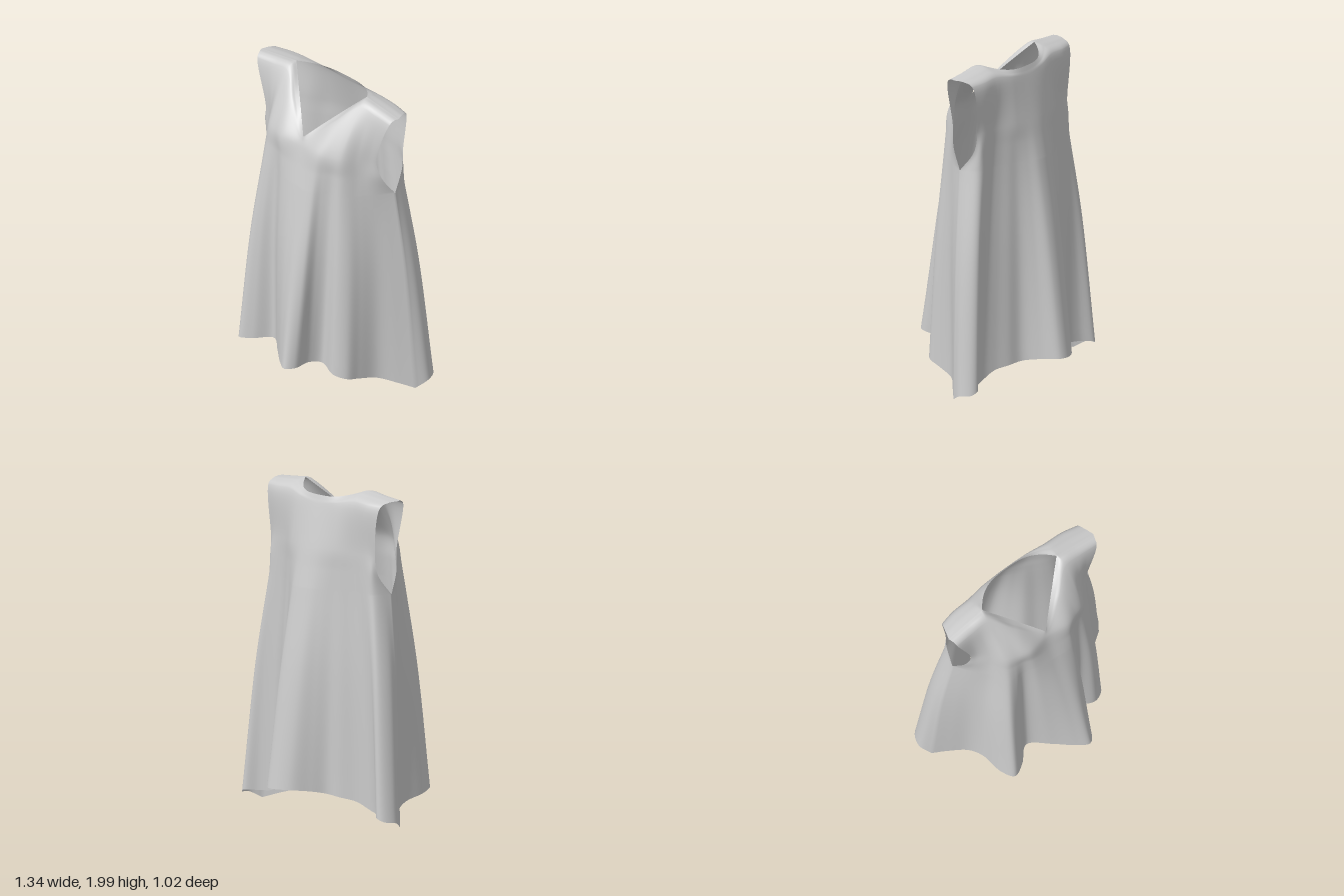
import * as THREE from 'three';
import { mergeGeometries, mergeVertices } from 'three/addons/utils/BufferGeometryUtils.js';

const COLS = 128, UPPER = 50, LOWER = 20;
const V = (p) => new THREE.Vector3(...p);
const smooth = (a, b, x) => THREE.MathUtils.smoothstep(x, a, b);

// Smooth line from a half list (centre to side) mirrored to run from -x to +x
const mirrored = (half) =>
  new THREE.CatmullRomCurve3([...half.slice(1).reverse().map(([x, y, z]) => [-x, y, z]), ...half].map(V));

// Upper edge at h = 0 (centre) to 1 (shoulder end): neckline, then the shoulder seam
function topEdge(neck, u) {
  const h = Math.abs(2 * u - 1), side = Math.sign(2 * u - 1);
  const p = h <= 0.5 ? V(neck(2 * h)) : V([0.28, 2, -0.04]).lerp(V([0.545, 1.97, -0.025]), 2 * h - 1);
  p.x *= side;
  return p;
}

// Key lines of each panel: neckline, shoulder roll, chest, underarm, hem.
// bow is how far the armhole edge swells in z just above the underarm.
const FRONT = {
  bow: 0.025,
  neck: (t) => [0.28 * t, 1.71 + 0.31 * t - 0.02 * t * t, 0.215 - 0.255 * t],
  roll: [[0, 1.69, 0.22], [0.16, 1.84, 0.135], [0.29, 1.965, 0.035], [0.41, 1.955, 0.03], [0.525, 1.945, 0.035]],
  chest: [[0, 1.65, 0.235], [0.14, 1.67, 0.25], [0.22, 1.67, 0.225], [0.29, 1.67, 0.195], [0.35, 1.66, 0.12],
    [0.4, 1.655, 0.075], [0.44, 1.65, 0.055]],
  underarm: [[0, 1.4, 0.28], [0.16, 1.4, 0.28], [0.3, 1.4, 0.22], [0.41, 1.4, 0.09], [0.505, 1.4, -0.04]],
  hem: [
    [-0.63, 0.01, -0.08], [-0.55, 0.045, -0.02], [-0.46, 0.08, 0.06], [-0.42, 0.11, 0.15], [-0.405, 0.14, 0.3],
    [-0.36, 0.165, 0.385], [-0.28, 0.175, 0.35], [-0.19, 0.18, 0.27], [-0.07, 0.205, 0.37], [0.04, 0.215, 0.47],
    [0.11, 0.22, 0.51], [0.155, 0.22, 0.46], [0.155, 0.2, 0.34], [0.2, 0.18, 0.27], [0.31, 0.16, 0.3],
    [0.385, 0.14, 0.26], [0.41, 0.11, 0.17], [0.45, 0.075, 0.06], [0.55, 0.04, -0.02], [0.63, 0.01, -0.08],
  ],
};
const BACK = {
  bow: -0.035,
  neck: (t) => [0.28 * t, 1.95 + 0.05 * t ** 3, -0.175 + 0.135 * t ** 3],
  roll: [[0, 1.9, -0.195], [0.15, 1.92, -0.185], [0.29, 1.945, -0.16], [0.41, 1.94, -0.155], [0.51, 1.935, -0.135]],
  chest: [[0, 1.65, -0.265], [0.18, 1.65, -0.235], [0.31, 1.65, -0.18], [0.43, 1.65, -0.16], [0.475, 1.65, -0.145]],
  underarm: [[0, 1.4, -0.31], [0.16, 1.4, -0.25], [0.32, 1.4, -0.18], [0.475, 1.4, -0.155], [0.505, 1.4, -0.04]],
  hem: [
    [-0.63, 0.01, -0.08], [-0.67, 0.05, -0.15], [-0.65, 0.06, -0.22], [-0.61, 0.08, -0.245], [-0.54, 0.09, -0.19],
    [-0.45, 0.1, -0.165], [-0.36, 0.14, -0.19], [-0.27, 0.16, -0.245], [-0.19, 0.175, -0.28], [-0.13, 0.19, -0.36],
    [-0.06, 0.2, -0.46], [0.04, 0.2, -0.51], [0.11, 0.2, -0.49], [0.15, 0.19, -0.38], [0.2, 0.175, -0.28],
    [0.28, 0.16, -0.24], [0.36, 0.14, -0.19], [0.45, 0.09, -0.16], [0.54, 0.08, -0.185], [0.61, 0.08, -0.24],
    [0.65, 0.06, -0.22], [0.67, 0.05, -0.15], [0.63, 0.01, -0.08],
  ],
};

// One cloth panel: columns run from the neck or shoulder down through the key lines to the hem
function panel(def, flip) {
  const [roll, chest, underarm] = [def.roll, def.chest, def.underarm].map(mirrored);
  const hem = new THREE.CatmullRomCurve3(def.hem.map(V));
  const rows = UPPER + LOWER, position = [], index = [];
  for (let i = 0; i <= COLS; i++) {
    const u = i / COLS, h = Math.abs(2 * u - 1);
    const a = topEdge(def.neck, u), b = roll.getPoint(u), c = chest.getPoint(u), e = hem.getPoint(u);
    // rounded crest over the shoulder
    const crest = a.clone().lerp(b, 0.5);
    crest.y += 0.012 * smooth(0.25, 0.55, h);
    // folds already open at underarm height, except next to the armholes
    const d = c.clone().lerp(e, 0.23).setY(1.4).lerp(underarm.getPoint(u), smooth(0.45, 0.85, h));
    // rounded lower armhole
    const armpit = c.clone().lerp(d, 0.5);
    const edge = smooth(0.65, 1, h);
    armpit.z += def.bow * edge;
    armpit.x *= 1 - 0.015 * edge;
    // skirt swells slightly between underarm and hem
    const skirt = d.clone().lerp(e, 0.4).multiply(V([1.035, 1, 1.03]));
    const bodice = new THREE.CatmullRomCurve3([a, crest, b, c, armpit, d]);
    const drape = new THREE.CatmullRomCurve3([d, skirt, e]);
    for (let j = 0; j <= rows; j++) {
      const p = j < UPPER ? bodice.getPoint(j / UPPER) : drape.getPoint((j - UPPER) / LOWER);
      position.push(p.x, p.y, p.z);
      if (i < COLS && j < rows) {
        const q = i * (rows + 1) + j, r = q + rows + 1;
        if (flip) index.push(q, r, q + 1, r, r + 1, q + 1);
        else index.push(q, q + 1, r, r, q + 1, r + 1);
      }
    }
  }
  const geometry = new THREE.BufferGeometry();
  geometry.setAttribute('position', new THREE.Float32BufferAttribute(position, 3));
  geometry.setIndex(index);
  return geometry;
}

export function createModel() {
  const group = new THREE.Group();
  group.name = 'sleevelessTunic';
  // panels are welded at the side and shoulder seams
  const cloth = mergeVertices(mergeGeometries([panel(FRONT, false), panel(BACK, true)]), 1e-4);
  cloth.computeVertexNormals();
  const material = new THREE.MeshStandardMaterial({ color: 0xcccccc, side: THREE.DoubleSide });
  const tunic = new THREE.Mesh(cloth, material);
  tunic.name = 'drapedCloth';
  group.add(tunic);
  return group;
}
